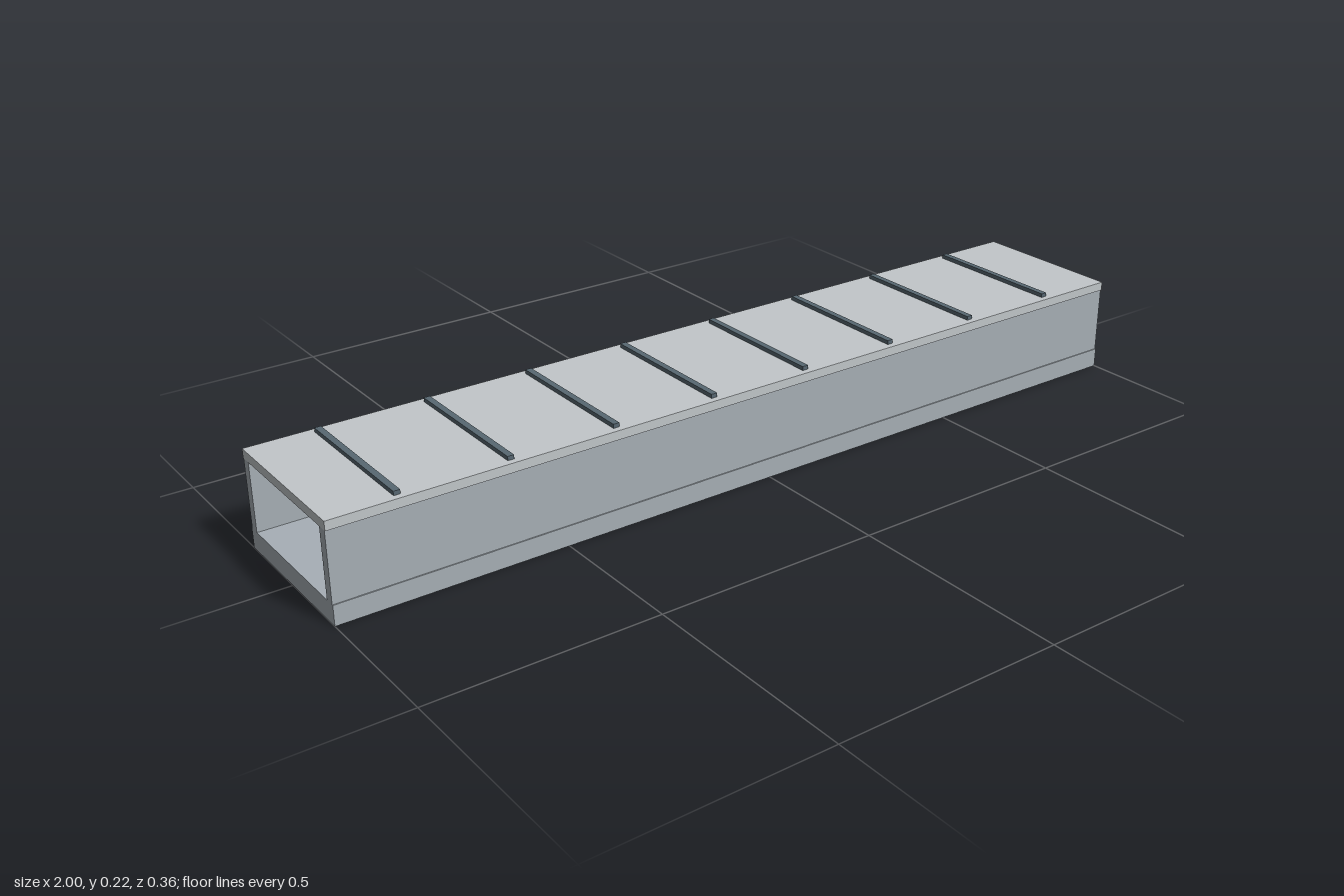
import * as THREE from 'three';

export function createModel() {
  const model = new THREE.Group();
  const wallMat = new THREE.MeshStandardMaterial({ color: 0xa7afb6 });
  const roofMat = new THREE.MeshStandardMaterial({ color: 0xc2c7ca });
  const stripMat = new THREE.MeshStandardMaterial({ color: 0x586872 });

  // Box given by its length, bottom, top, depth and centre
  function addBox(name, material, length, y0, y1, depth, x = 0, z = 0) {
    const mesh = new THREE.Mesh(new THREE.BoxGeometry(length, y1 - y0, depth), material);
    mesh.position.set(x, (y0 + y1) / 2, z);
    mesh.name = name;
    model.add(mesh);
  }

  // Open-ended corridor: thick floor, two slightly inset walls, roof slab
  addBox('floor', wallMat, 2, 0, 0.044, 0.363);
  addBox('frontWall', wallMat, 2, 0.044, 0.196, 0.022, 0, 0.168);
  addBox('backWall', wallMat, 2, 0.044, 0.196, 0.022, 0, -0.168);
  addBox('roof', roofMat, 2, 0.196, 0.216, 0.363);

  // Eight raised strips across the roof
  for (let i = 0; i < 8; i++) {
    addBox('roofStrip' + (i + 1), stripMat, 0.014, 0.216, 0.225, 0.334, -0.85 + i * 0.2382);
  }

  return model;
}
